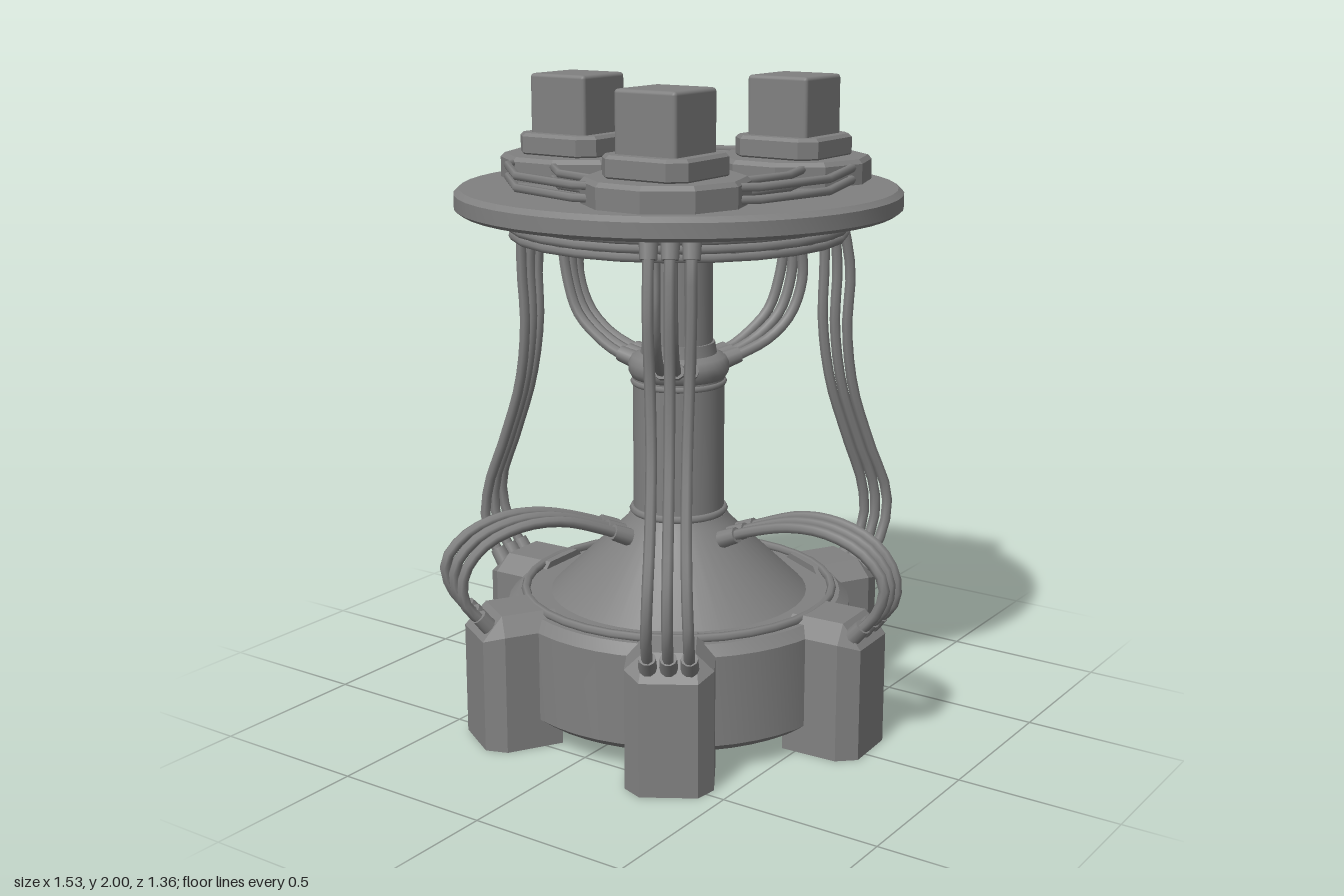
import * as THREE from 'three';
import { toCreasedNormals } from 'three/addons/utils/BufferGeometryUtils.js';
import { RoundedBoxGeometry } from 'three/addons/geometries/RoundedBoxGeometry.js';
import { ConvexGeometry } from 'three/addons/geometries/ConvexGeometry.js';

const metal = new THREE.MeshStandardMaterial({ color: 0x808080 });
metal.name = 'grey metal';

const V = (x, y, z = 0) => new THREE.Vector3(x, y, z);

function add(parent, name, geometry) {
  const mesh = new THREE.Mesh(geometry, metal);
  mesh.name = name;
  parent.add(mesh);
  return mesh;
}

// Turned part from [radius, height] pairs, listed from bottom to top
function turned(profile, sides = 48, crease = 0.6) {
  const points = profile.map(([r, y]) => new THREE.Vector2(r, y));
  return toCreasedNormals(new THREE.LatheGeometry(points, sides), crease);
}

// Horizontal ring of cable
function cableRing(parent, name, radius, y, tube, sides) {
  const ring = add(parent, name, new THREE.TorusGeometry(radius, tube, 6, sides));
  ring.rotation.x = Math.PI / 2;
  ring.position.y = y;
}

// Short plug whose axis runs from a to b
function plug(parent, a, b) {
  const length = a.distanceTo(b);
  const mesh = add(parent, 'cablePlug', new THREE.CylinderGeometry(0.025, 0.028, length, 10));
  mesh.position.copy(a).lerp(b, 0.5);
  mesh.quaternion.setFromUnitVectors(V(0, 1, 0), b.clone().sub(a).normalize());
}

// Three parallel cables; path rows are [radius, height, sideways spacing]
function cableBundle(parent, name, angle, path) {
  const bundle = new THREE.Group();
  bundle.name = name;
  bundle.rotation.y = -THREE.MathUtils.degToRad(angle);
  for (let i = -1; i <= 1; i++) {
    const pts = path.map(([r, y, s], k) => {
      const sway = k > 1 && k < path.length - 2 ? 0.012 * i : 0;
      return V(r + sway, y, i * s);
    });
    const curve = new THREE.CatmullRomCurve3(pts);
    add(bundle, 'cable', new THREE.TubeGeometry(curve, 20, 0.017, 7));
    plug(bundle, pts[0], pts[0].clone().lerp(pts[1], 0.065 / pts[0].distanceTo(pts[1])));
    const end = pts.length - 1;
    plug(bundle, pts[end], pts[end].clone().lerp(pts[end - 1], 0.06 / pts[end].distanceTo(pts[end - 1])));
  }
  parent.add(bundle);
}

// Chamfered block, pointing along +x
function footGeometry() {
  const points = [];
  for (const s of [-1, 1]) {
    points.push(
      V(0.45, 0, s * 0.13), V(0.63, 0, s * 0.13), V(0.685, 0, s * 0.085),
      V(0.685, 0.35, s * 0.085), V(0.63, 0.37, s * 0.13), V(0.62, 0.42, s * 0.075),
      V(0.45, 0.37, s * 0.13), V(0.45, 0.42, s * 0.075)
    );
  }
  return new ConvexGeometry(points);
}

// Square with cut corners, extruded upward with a soft top edge
function cutSquare(half, cut, height) {
  const c = half - cut;
  const shape = new THREE.Shape([
    [half, -c], [half, c], [c, half], [-c, half],
    [-half, c], [-half, -c], [-c, -half], [c, -half],
  ].map(([x, y]) => new THREE.Vector2(x, y)));
  const bevel = 0.01;
  const geometry = new THREE.ExtrudeGeometry(shape, {
    depth: height - 2 * bevel, bevelSize: bevel, bevelThickness: bevel,
    bevelOffset: -bevel, bevelSegments: 1,
  });
  geometry.translate(0, 0, bevel);
  return geometry.rotateX(-Math.PI / 2);
}

export function createModel() {
  const model = new THREE.Group();
  model.name = 'cabledTower';

  // Base drum with cone rising to the column
  add(model, 'baseDrum', turned([
    [0, 0.06], [0.50, 0.06], [0.54, 0.09], [0.54, 0.37], [0.51, 0.4], [0, 0.4],
  ]));
  add(model, 'baseCone', turned([[0.42, 0.385], [0.165, 0.63], [0.15, 0.655], [0, 0.66]]));
  cableRing(model, 'drumRing', 0.485, 0.41, 0.014, 36);

  // Column with shoulder rings and a collar
  add(model, 'lowerColumn', turned([[0.142, 0.6], [0.142, 1.1], [0, 1.1]]));
  cableRing(model, 'columnFootRing', 0.142, 0.665, 0.013, 32);
  cableRing(model, 'columnTopRing', 0.14, 1.075, 0.01, 32);
  add(model, 'collar', turned([
    [0.12, 1.085], [0.145, 1.09], [0.156, 1.11], [0.156, 1.135],
    [0.145, 1.155], [0.118, 1.165], [0.112, 1.2], [0, 1.2],
  ], 32, 0.9));
  add(model, 'upperColumn', turned([[0.105, 1.15], [0.105, 1.64], [0, 1.64]], 32));

  // Disc platform with a hollow skirt below
  add(model, 'disc', turned([
    [0, 1.63], [0.43, 1.63], [0.46, 1.535], [0.505, 1.535], [0.515, 1.61],
    [0.66, 1.61], [0.677, 1.622], [0.677, 1.665], [0.66, 1.68], [0, 1.68],
  ]));
  [1.592, 1.566, 1.54].forEach((y, i) =>
    cableRing(model, 'skirtCable', 0.515 - i * 0.006, y, 0.014, 24));

  // Cable loops linking the three pods on the disc
  for (const radius of [0.385, 0.52]) {
    for (const y of [1.7, 1.735]) cableRing(model, 'podCable', radius, y, 0.013, 12);
  }

  // Three pods, each a ten-sided plinth, a cut square and a cube
  for (const [x, z] of [[-0.38, 0], [0.21, -0.32], [0.19, 0.34]]) {
    const pod = new THREE.Group();
    pod.name = 'pod';
    pod.position.set(x, 0, z);
    const plinth = add(pod, 'podPlinth', turned([
      [0, 1.67], [0.242, 1.67], [0.242, 1.742], [0.23, 1.755], [0, 1.755],
    ], 10, 0.3));
    plinth.rotation.y = Math.PI / 2;
    add(pod, 'podStep', cutSquare(0.147, 0.045, 0.07)).position.y = 1.75;
    add(pod, 'podCube', new RoundedBoxGeometry(0.21, 0.2, 0.21, 2, 0.012)).position.y = 1.9;
    model.add(pod);
  }

  // Six feet around the drum
  const foot = footGeometry();
  for (const angle of [-3, 58, 121, 178, 237, 299]) {
    add(model, 'foot', foot).rotation.y = -THREE.MathUtils.degToRad(angle);
  }

  // Tall cables from alternate feet up to the disc, and short ones to the collar
  for (const angle of [58, 177.5, 299]) {
    cableBundle(model, 'tallCables', angle, [
      [0.64, 0.37, 0.06], [0.72, 0.49, 0.06], [0.728, 0.62, 0.055], [0.66, 0.8, 0.05],
      [0.59, 1.0, 0.05], [0.56, 1.2, 0.055], [0.565, 1.38, 0.06], [0.55, 1.52, 0.06],
      [0.525, 1.6, 0.06],
    ]);
    cableBundle(model, 'collarCables', angle, [
      [0.4, 1.63, 0.05], [0.4, 1.5, 0.05], [0.395, 1.37, 0.05], [0.355, 1.26, 0.05],
      [0.28, 1.19, 0.048], [0.2, 1.15, 0.045], [0.13, 1.13, 0.04],
    ]);
  }

  // Arched cables from the other feet to the cone
  for (const angle of [-2.5, 122, 236]) {
    cableBundle(model, 'archedCables', angle, [
      [0.64, 0.37, 0.06], [0.725, 0.47, 0.06], [0.735, 0.56, 0.06], [0.67, 0.64, 0.06],
      [0.55, 0.685, 0.06], [0.42, 0.685, 0.06], [0.27, 0.64, 0.057], [0.19, 0.605, 0.055],
    ]);
  }
  return model;
}
